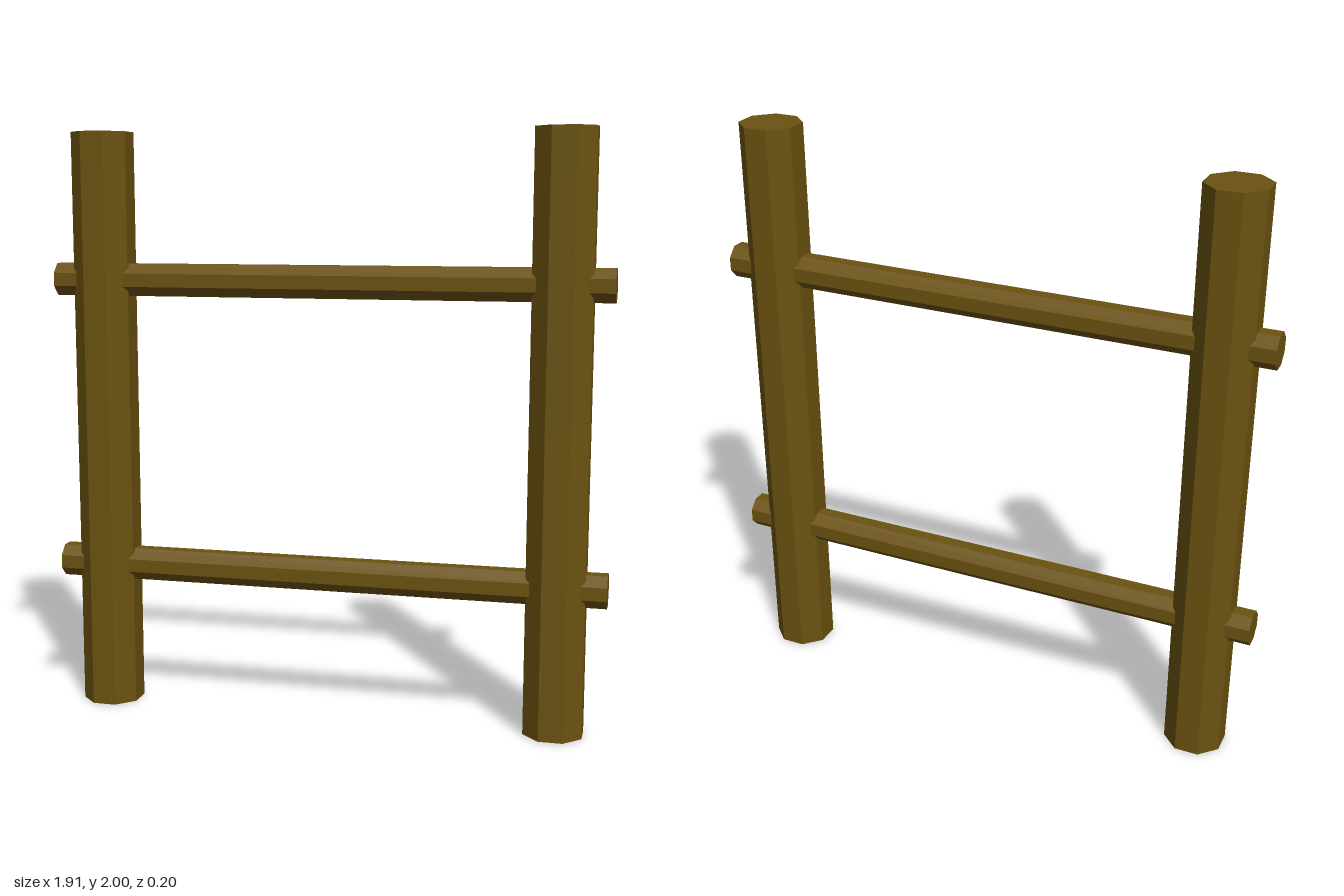
import * as THREE from 'three';

const wood = new THREE.MeshStandardMaterial({ color: 0x6b5210, flatShading: true });

// Eight-sided pole along y, turned so its flats face the axes
function pole(name, halfWidth, length) {
  const radius = halfWidth / Math.cos(Math.PI / 8);
  const geometry = new THREE.CylinderGeometry(radius, radius, length, 8);
  geometry.rotateY(Math.PI / 8);
  const mesh = new THREE.Mesh(geometry, wood);
  mesh.name = name;
  return mesh;
}

export function createModel() {
  const fence = new THREE.Group();
  fence.name = 'woodenFence';

  // Upright posts
  for (const [name, side] of [['leftPost', 1], ['rightPost', -1]]) {
    const post = pole(name, 0.098, 2);
    post.position.set(side * 0.787, 1, 0);
    fence.add(post);
  }

  // Rails passing through both posts
  for (const [name, y] of [['lowerRail', 0.5], ['upperRail', 1.5]]) {
    const rail = pole(name, 0.055, 1.91);
    rail.rotation.z = Math.PI / 2;
    rail.position.y = y;
    fence.add(rail);
  }

  return fence;
}
